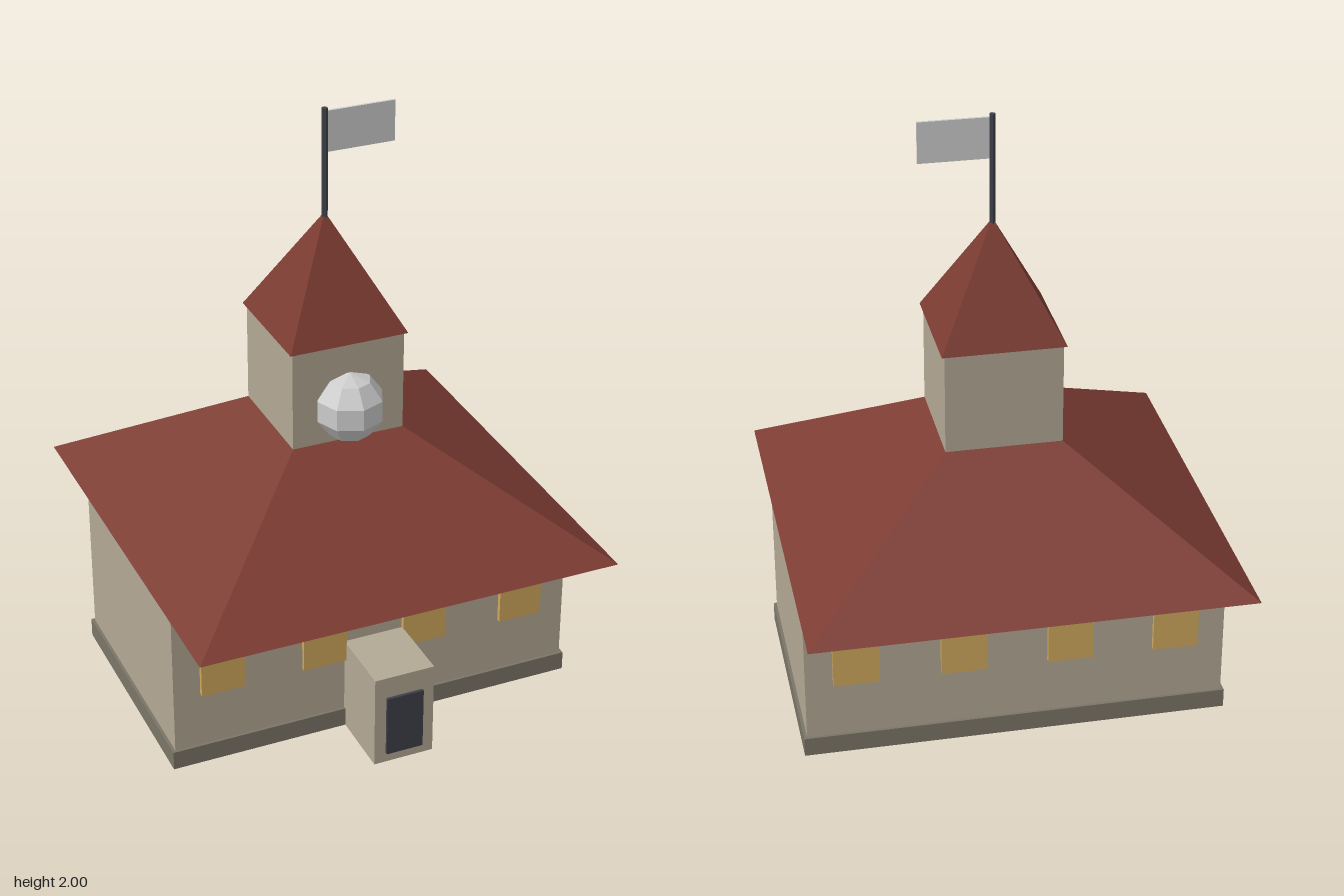
import * as THREE from 'three';

const paint = (color) => new THREE.MeshStandardMaterial({ color, flatShading: true });
const wall = paint(0xb2a894), stone = paint(0x7a7567), tile = paint(0x7c3c32);
const amber = paint(0xcfa85c), dark = paint(0x3d4149), grey = paint(0xcccccc);

export function createModel() {
  const model = new THREE.Group();

  const add = (name, geometry, material, x, y, z) => {
    const mesh = new THREE.Mesh(geometry, material);
    mesh.name = name;
    mesh.position.set(x, y, z);
    model.add(mesh);
    return mesh;
  };
  // Box standing on height y
  const box = (name, w, h, d, material, x, y, z) =>
    add(name, new THREE.BoxGeometry(w, h, d), material, x, y + h / 2, z);
  // Square pyramid with its sides along the axes
  const pyramid = (name, half, h, y) =>
    add(name, new THREE.ConeGeometry(half * Math.SQRT2, h, 4).rotateY(Math.PI / 4), tile, 0, y + h / 2, 0);

  // Main hall on its plinth
  box('plinth', 1.4, 0.065, 0.82, stone, 0, 0, 0);
  box('hall', 1.38, 0.59, 0.8, wall, 0, 0.005, 0);
  pyramid('mainRoof', 0.71, 0.48, 0.595);

  // Windows along the front and back
  for (const side of [1, -1])
    for (const x of [-0.525, -0.175, 0.175, 0.525])
      box('window', 0.15, 0.17, 0.03, amber, x, 0.26, side * 0.4);

  // Entrance porch
  box('porch', 0.205, 0.325, 0.26, wall, 0, 0, 0.51);
  box('door', 0.126, 0.215, 0.02, dark, 0, 0.035, 0.64);

  // Tower with its spire and round clock
  box('tower', 0.38, 0.6, 0.38, wall, 0, 0.69, 0);
  pyramid('spire', 0.2, 0.37, 1.285);
  add('clock', new THREE.SphereGeometry(0.116, 8, 5), grey, 0, 1.07, 0.2);

  // Flagpole and flag
  add('flagpole', new THREE.CylinderGeometry(0.01, 0.01, 0.4, 6), dark, 0, 1.8, 0);
  box('flag', 0.225, 0.135, 0.008, grey, 0.1225, 1.855, 0);

  return model;
}
